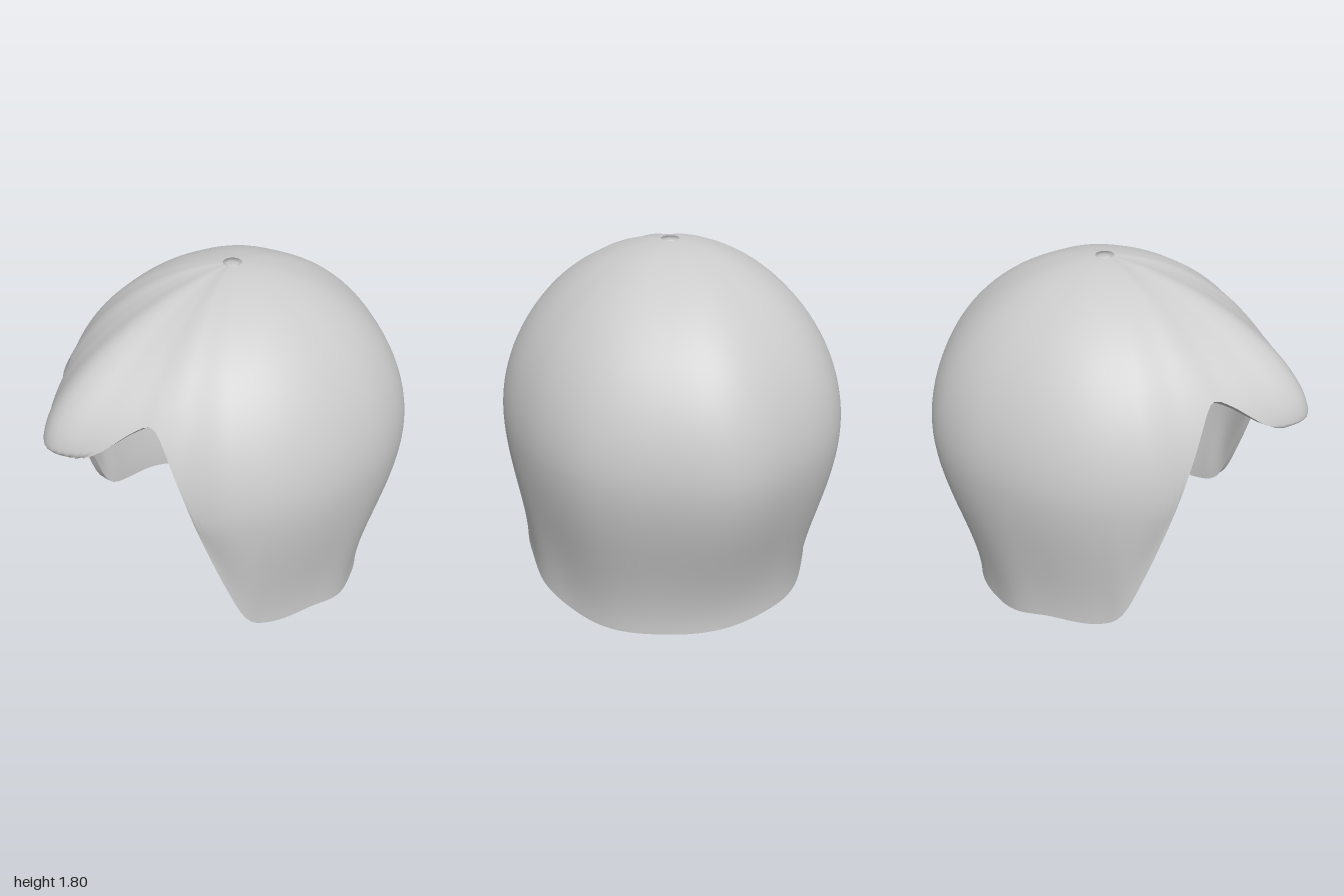
import * as THREE from 'three';

// Half-outline, front to back: [angle, widest radius, height of widest, roundness, rim radius, rim height]
const SECTIONS = [
  [0, 1.06, 1.18, 1.6, 0.98, 1.115],
  [12, 0.965, 1.16, 1.62, 0.955, 1.2],
  [21, 0.92, 1.1, 1.7, 0.915, 1.32],
  [27, 0.925, 1.0, 1.8, 0.92, 1.35],
  [32.5, 0.91, 0.95, 1.88, 0.9, 1.25],
  [39, 0.893, 0.93, 1.9, 0.885, 1.04],
  [43, 0.89, 0.93, 1.9, 0.88, 0.85],
  [51, 0.89, 0.93, 1.9, 0.85, 0.5],
  [58, 0.88, 0.92, 1.9, 0.83, 0.26],
  [65, 0.87, 0.92, 1.9, 0.795, 0.175],
  [86, 0.847, 0.92, 1.92, 0.757, 0.14],
  [102, 0.845, 0.92, 1.92, 0.753, 0.08],
  [118, 0.865, 0.93, 1.92, 0.725, 0.025],
  [136, 0.895, 0.93, 1.92, 0.72, 0],
  [158, 0.905, 0.93, 1.92, 0.706, 0],
  [180, 0.94, 0.93, 1.92, 0.71, 0],
];
const TOP = 1.8, CENTRE_Z = -0.06, HOLE = 0.045, WALL = 0.045;
const AROUND = 180, DOWN = 56;

// Smooth interpolation of one section column over the angle
function column(deg, c) {
  const S = SECTIONS, last = S.length - 1;
  let i = 0;
  while (i < last - 1 && deg > S[i + 1][0]) i++;
  const slope = k => (k === 0 || k === last) ? 0
    : (S[k + 1][c] - S[k - 1][c]) / (S[k + 1][0] - S[k - 1][0]);
  const h = S[i + 1][0] - S[i][0], t = (deg - S[i][0]) / h, t2 = t * t, t3 = t2 * t;
  return (2 * t3 - 3 * t2 + 1) * S[i][c] + (t3 - 2 * t2 + t) * h * slope(i)
    + (3 * t2 - 2 * t3) * S[i + 1][c] + (t3 - t2) * h * slope(i + 1);
}

// One line from the crown to the rim: a superellipse dome, then an S-curved skirt
function meridian(deg) {
  const [R, yMax, p, rimR, rimY] = [1, 2, 3, 4, 5].map(c => column(Math.abs(deg), c));
  const H = TOP - yMax, quarter = Math.PI / 2, a = deg * Math.PI / 180;
  const start = 1 - Math.acos(Math.pow(HOLE / R, p / 2)) / quarter;
  const end = rimY >= yMax
    ? 1 - Math.asin(Math.pow((rimY - yMax) / H, p / 2)) / quarter
    : 1 + (yMax - rimY) / H;
  const points = [];
  for (let j = 0; j <= DOWN; j++) {
    const v = start + (end - start) * j / DOWN;
    let r, y;
    if (v <= 1) {
      const phi = (1 - v) * quarter;
      r = R * Math.pow(Math.cos(phi), 2 / p);
      y = yMax + H * Math.pow(Math.sin(phi), 2 / p);
    } else {
      r = R + (rimR - R) * THREE.MathUtils.smoothstep((v - 1) / (end - 1), 0, 1);
      y = yMax - (v - 1) * H;
    }
    points.push(new THREE.Vector3(r * Math.sin(a), y, r * Math.cos(a) + CENTRE_Z));
  }
  return points;
}

// Skin a closed ring of point columns
function skin(columns, flip = false) {
  const n = columns.length, m = columns[0].length, index = [];
  for (let i = 0; i < n; i++) {
    for (let j = 0; j < m - 1; j++) {
      const a = i * m + j, c = ((i + 1) % n) * m + j;
      if (flip) index.push(a, c, a + 1, a + 1, c, c + 1);
      else index.push(a, a + 1, c, a + 1, c + 1, c);
    }
  }
  const geometry = new THREE.BufferGeometry().setFromPoints(columns.flat());
  geometry.setIndex(index);
  geometry.computeVertexNormals();
  return geometry;
}

export function createModel() {
  const group = new THREE.Group();
  group.name = 'hood';
  const material = new THREE.MeshStandardMaterial({ color: 0xcccccc, side: THREE.DoubleSide });
  const add = (name, geometry) => {
    const mesh = new THREE.Mesh(geometry, material);
    mesh.name = name;
    group.add(mesh);
    return mesh;
  };

  // Outer shell with the peak at the front
  const outer = [];
  for (let i = 0; i < AROUND; i++) outer.push(meridian(i * 360 / AROUND - 180));
  const shell = skin(outer);
  add('outerShell', shell);

  // Inner lining, offset along the shell normals
  const normals = shell.attributes.normal;
  const inner = outer.map((line, i) => line.map((point, j) => {
    const normal = new THREE.Vector3().fromBufferAttribute(normals, i * (DOWN + 1) + j);
    return point.clone().addScaledVector(normal, -WALL);
  }));
  add('innerLining', skin(inner, true));

  // Flat edge joining shell and lining
  add('rim', skin(outer.map((line, i) => [line[DOWN], inner[i][DOWN]])));

  // Small dimple closing the crown
  const profile = [[0.05, 1.752], [0.046, 1.8], [0.026, 1.786], [0.024, 1.79], [0, 1.792]]
    .map(([x, y]) => new THREE.Vector2(x, y));
  add('crownDimple', new THREE.LatheGeometry(profile, 24)).position.z = CENTRE_Z;
  const plug = add('crownPlug', new THREE.CylinderGeometry(0.05, 0.05, 0.02, 24));
  plug.position.set(0, 1.762, CENTRE_Z);

  return group;
}
